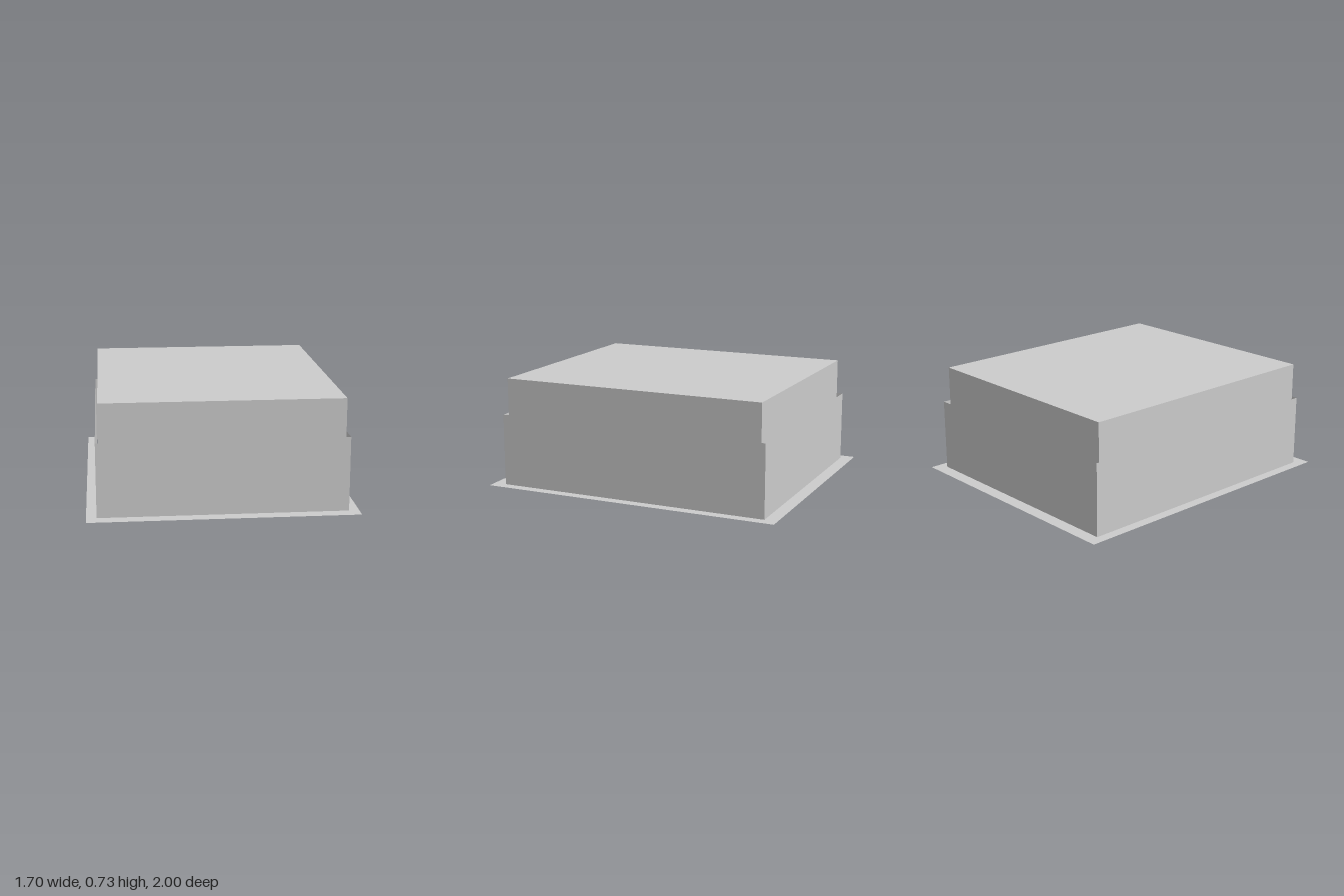
import * as THREE from 'three';

const BASE_Y = 0.015, RIM_Y = 0.49, TOP_Y = 0.73;
const SLEEVE_X = 0.785, SLEEVE_Z = 0.916; // half sizes of the sleeve
const FLANGE_X = 0.85, FLANGE_Z = 1;      // half sizes of the flange

const solid = new THREE.MeshStandardMaterial({ color: 0xcccccc, flatShading: true });
const sheet = new THREE.MeshStandardMaterial({ color: 0xcccccc, flatShading: true, side: THREE.DoubleSide });

// Corners of a centred rectangle
const rectangle = (x, z) => [[-x, -z], [x, -z], [x, z], [-x, z]].map(([a, b]) => new THREE.Vector2(a, b));

export function createModel() {
  const model = new THREE.Group();
  model.name = 'sleevedBox';

  // Closed inner box, standing loose inside the sleeve
  const box = new THREE.Mesh(new THREE.BoxGeometry(1.524, TOP_Y, 1.77), solid);
  box.name = 'innerBox';
  box.position.set(-0.002, TOP_Y / 2, 0.005);
  model.add(box);

  // Thin sleeve walls, open above and below
  const sleeve = new THREE.Group();
  sleeve.name = 'sleeve';
  const height = RIM_Y - BASE_Y;
  ['front', 'left', 'back', 'right'].forEach((side, i) => {
    const along = i % 2 ? SLEEVE_Z : SLEEVE_X;
    const out = i % 2 ? SLEEVE_X : SLEEVE_Z;
    const geometry = new THREE.PlaneGeometry(2 * along, height);
    geometry.translate(0, (BASE_Y + RIM_Y) / 2, out);
    geometry.rotateY(i * Math.PI / 2);
    const wall = new THREE.Mesh(geometry, sheet);
    wall.name = side + 'Wall';
    sleeve.add(wall);
  });
  model.add(sleeve);

  // Flat flange around the foot of the sleeve
  const outline = new THREE.Shape(rectangle(FLANGE_X, FLANGE_Z));
  outline.holes.push(new THREE.Path(rectangle(SLEEVE_X, SLEEVE_Z)));
  const flange = new THREE.Mesh(new THREE.ShapeGeometry(outline).rotateX(-Math.PI / 2), sheet);
  flange.name = 'flange';
  flange.position.y = BASE_Y;
  model.add(flange);

  return model;
}
